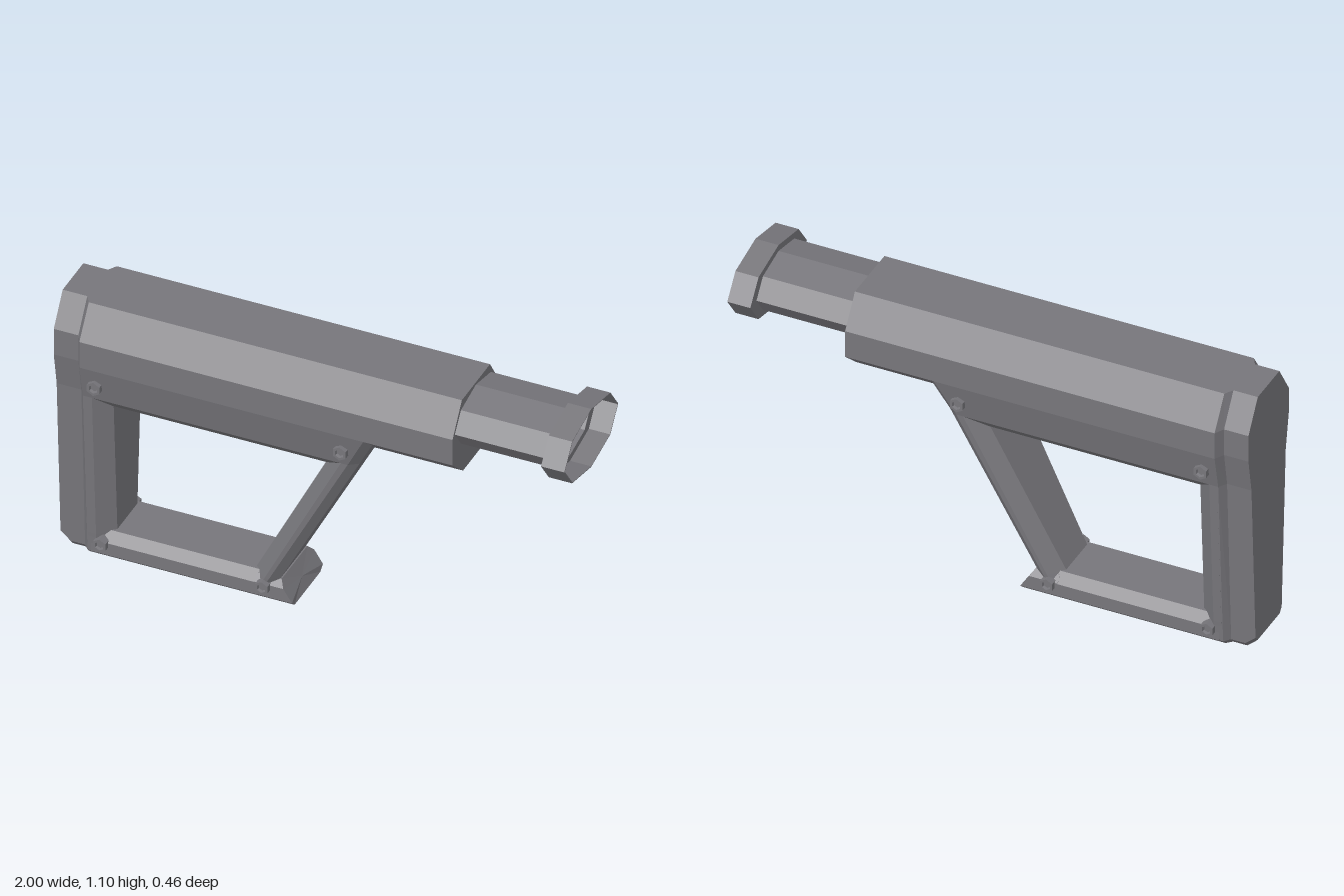
import * as THREE from 'three';

const polymer = new THREE.MeshStandardMaterial({ color: 0x77767b });
polymer.name = 'grey polymer';

// Flat-shaded skin through closed rings of [x, y, z] points, wound outwards
function loft(rings, caps = true) {
  const tris = [];
  const n = rings[0].length;
  for (let r = 0; r < rings.length - 1; r++) {
    for (let i = 0; i < n; i++) {
      const j = (i + 1) % n;
      const a = rings[r][i], b = rings[r][j], c = rings[r + 1][j], d = rings[r + 1][i];
      tris.push([a, b, c], [a, c, d]);
    }
  }
  if (caps) {
    for (const [ring, flip] of [[rings[0], true], [rings[rings.length - 1], false]]) {
      const mid = [0, 1, 2].map((k) => ring.reduce((s, p) => s + p[k], 0) / n);
      ring.forEach((p, i) => {
        const q = ring[(i + 1) % n];
        tris.push(flip ? [mid, q, p] : [mid, p, q]);
      });
    }
  }
  // Signed volume tells whether the winding must be reversed
  const v = (p) => new THREE.Vector3(...p);
  const volume = tris.reduce((s, [a, b, c]) => s + v(a).dot(v(b).cross(v(c))), 0);
  if (volume < 0) tris.forEach((t) => t.reverse());
  const g = new THREE.BufferGeometry();
  g.setAttribute('position', new THREE.Float32BufferAttribute(tris.flat(2), 3));
  g.computeVertexNormals();
  return g;
}

// Half outline of [a, z] pairs closed by its mirror image in z
const mirror = (half) => [...half, ...half.map(([a, z]) => [a, -z]).reverse()];
// Ring across the x axis from [y, z] pairs; x may depend on y
const ringX = (half, x) =>
  mirror(half).map(([y, z]) => [typeof x === 'function' ? x(y) : x, y, z]);
// Ring across the y axis from [x, z] pairs
const ringY = (half, y) => mirror(half).map(([x, z]) => [x, y, z]);

export function createModel() {
  const model = new THREE.Group();
  model.name = 'shoulderStock';
  const add = (name, geometry) => {
    const mesh = new THREE.Mesh(geometry, polymer);
    mesh.name = name;
    model.add(mesh);
    return mesh;
  };

  // Upper housing
  const housing = [[1.08, 0.12], [0.96, 0.2], [0.85, 0.2], [0.77, 0.11]];
  add('upperHousing', loft([ringX(housing, -0.86), ringX(housing, 0.555)]));

  // Beam under the housing, bevelled towards the opening, end cut along the strut
  const beam = [[0.87, 0.2], [0.85, 0.2], [0.71, 0.17], [0.66, 0.12]];
  add('upperBeam', loft([ringX(beam, -0.86), ringX(beam, (y) => 0.21 + (y - 0.85) * 0.53)]));

  // Butt pad, narrower than the body with a sloped shoulder
  const butt = [[1.08, 0.12], [0.96, 0.2], [0.85, 0.2], [0.71, 0.17], [0.02, 0.13], [0, 0.11]];
  const pad = butt.map(([y, z]) => [y, y > 1 ? 0.088 : z * 0.82]);
  const padRear = pad.map(([y, z]) => [y < 0.03 ? y + 0.035 : y, z]);
  add('buttPad', loft([
    ringX(padRear, -1), ringX(pad, -0.96), ringX(pad, -0.905),
    ringX(butt, -0.885), ringX(butt, -0.85),
  ]));

  // Half width of the frame at the main heights
  const levels = [[0.85, 0.2], [0.71, 0.17], [0.1, 0.135], [0.04, 0.13]];

  // Rear post, bevelled on its inner edge
  add('rearPost', loft(levels.map(([y, w]) =>
    ringY([[-0.88, w], [-0.85, w], [-0.79, w - 0.05]], y))));

  // Slanted front strut with bevelled edges
  add('frontStrut', loft(levels.map(([y, w]) => {
    const inner = 0.03 + (y - 0.66) * 0.51;
    const outer = 0.245 + (y - 0.85) * 0.525;
    return ringY([[inner, w - 0.05], [inner + 0.055, w], [outer - 0.035, w], [outer, w - 0.025]], y);
  })));

  // Lower beam ending in a rounded toe
  const lower = [[0.107, 0.1], [0.07, 0.132], [0.02, 0.132], [0, 0.11]];
  add('lowerBeam', loft([ringX(lower, -0.87), ringX(lower, -0.2)]));
  const toe = [[0.097, 0.11], [0.072, 0.132], [0.02, 0.132], [0, 0.11]];
  const toeX = (y) => -0.095 - Math.max(0, y - 0.02) * 0.65;
  add('toe', loft([ringX(toe, -0.24), ringX(toe, toeX)]));

  // Hollow eight-sided tube with a flared collar
  const oval = (x, ry, rz, s = 1) => {
    const pts = [[0, 1], [0.71, 0.72], [1, 0], [0.71, -0.72], [0, -1], [-0.71, -0.72], [-1, 0], [-0.71, 0.72]];
    return pts.map(([z, y]) => [x, 0.97 + y * ry * s, z * rz * s]);
  };
  add('bufferTube', loft([
    oval(0.54, 0.1, 0.18), oval(0.91, 0.1, 0.18),
    oval(0.91, 0.125, 0.23), oval(1, 0.125, 0.23),
    oval(1, 0.125, 0.23, 0.98), oval(0.918, 0.125, 0.23, 0.98),
    oval(0.918, 0.1, 0.18, 0.98), oval(0.54, 0.1, 0.18, 0.98),
  ], false));

  // Hexagonal bolts with recessed heads on both sides
  const profile = [[0.028, -0.06], [0.028, 0], [0.018, 0], [0.014, -0.01], [0, -0.01]];
  const bolt = new THREE.LatheGeometry(profile.map((p) => new THREE.Vector2(...p)), 6)
    .rotateY(Math.PI / 6).rotateX(Math.PI / 2).rotateZ(Math.PI / 6).toNonIndexed();
  bolt.computeVertexNormals();
  for (const [x, y, z] of [[-0.83, 0.775, 0.205], [0.12, 0.775, 0.205], [-0.83, 0.065, 0.153], [-0.205, 0.065, 0.153]]) {
    for (const side of [1, -1]) {
      const mesh = add(side > 0 ? 'frontBolt' : 'backBolt', bolt);
      mesh.position.set(x, y, side * z);
      if (side < 0) mesh.rotation.y = Math.PI;
    }
  }
  return model;
}
